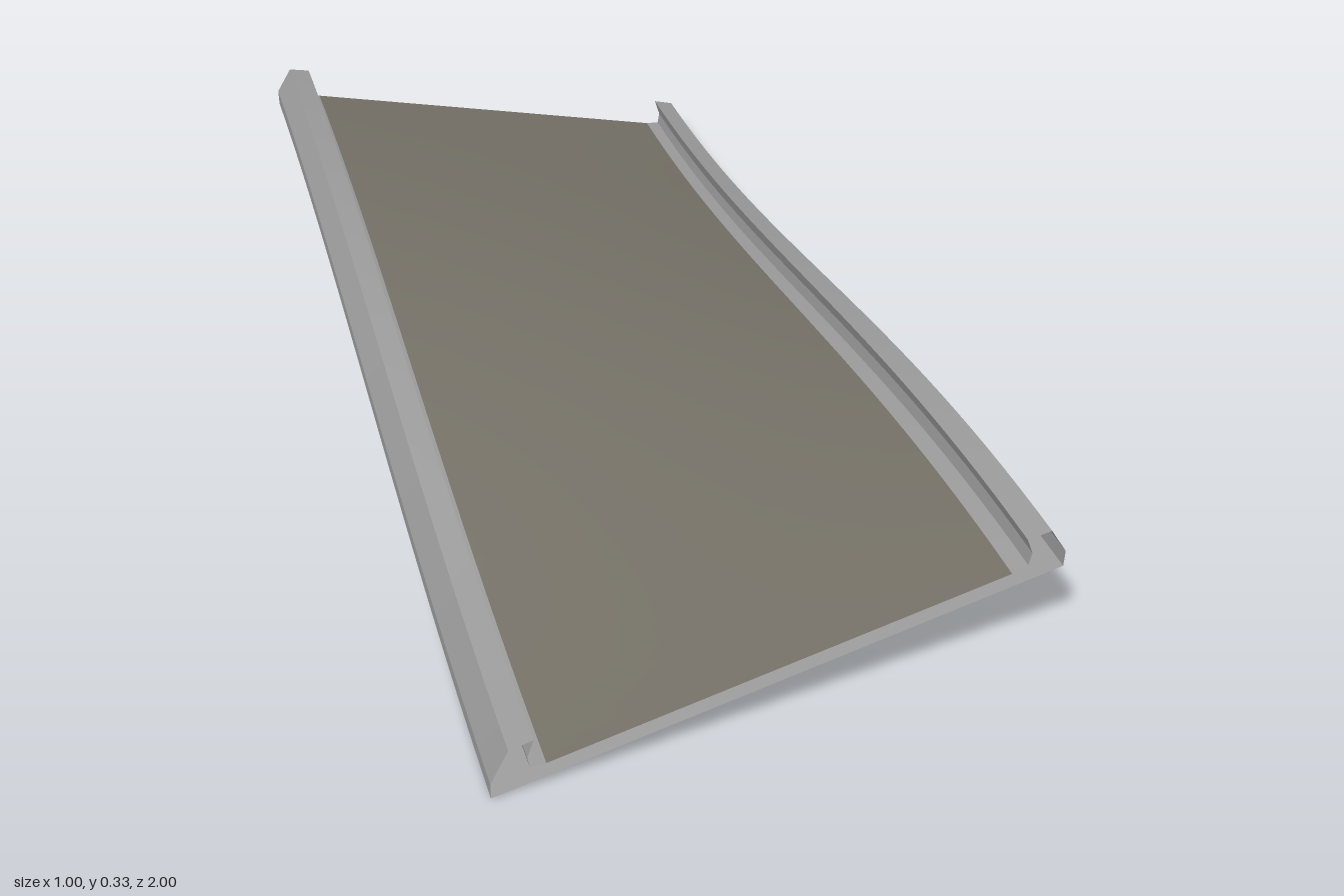
import * as THREE from 'three';

const HALF = 0.5, STEPS = 32;

// Height of the banked base plane: each side swaps from high to low along the length
const bank = (x, z) => 0.126 + 0.25 * x * Math.sin((z * Math.PI) / 2);

// Sweeps an open profile of [x, height] points along z; every profile edge stays crisp
function sweep(name, profile, material, across = 1) {
  const pos = [], idx = [];
  for (let p = 0; p < profile.length - 1; p++) {
    const [ax, ah] = profile[p], [bx, bh] = profile[p + 1];
    const base = pos.length / 3, row = across + 1;
    for (let i = 0; i <= STEPS; i++) {
      const z = -1 + (2 * i) / STEPS;
      for (let j = 0; j <= across; j++) {
        const t = j / across, x = ax + (bx - ax) * t;
        pos.push(x, bank(x, z) + ah + (bh - ah) * t, z);
      }
    }
    for (let i = 0; i < STEPS; i++) {
      for (let j = 0; j < across; j++) {
        const a = base + i * row + j, c = a + row;
        idx.push(a, c, c + 1, a, c + 1, a + 1);
      }
    }
  }
  const geo = new THREE.BufferGeometry();
  geo.setAttribute('position', new THREE.Float32BufferAttribute(pos, 3));
  geo.setIndex(idx);
  geo.computeVertexNormals();
  const mesh = new THREE.Mesh(geo, material);
  mesh.name = name;
  return mesh;
}

export function createModel() {
  const concrete = new THREE.MeshStandardMaterial({ color: 0x9a9a9a, side: THREE.DoubleSide });
  concrete.name = 'concrete grey';
  const asphalt = new THREE.MeshStandardMaterial({ color: 0x747066, side: THREE.DoubleSide });
  asphalt.name = 'road brown grey';

  const group = new THREE.Group();
  group.name = 'twistedRoad';

  // Barrier outline: outer wall, chamfer, top, undercut inner wall and foot
  const rightBarrier = [
    [-HALF, 0], [-HALF, 0.033], [-0.468, 0.0925], [-0.425, 0.094],
    [-0.437, 0.06], [-0.433, 0.035], [-0.405, 0.03],
  ];
  const leftBarrier = rightBarrier.map(([x, h]) => [-x, h]).reverse();

  group.add(
    sweep('rightBarrier', rightBarrier, concrete),
    sweep('leftBarrier', leftBarrier, concrete),
    // Road surface between the barriers, and the hollow shell's underside
    sweep('roadSurface', [[-0.405, 0.03], [0.405, 0.03]], asphalt, 8),
    sweep('underside', [[HALF, 0], [-HALF, 0]], concrete, 8),
  );
  return group;
}
